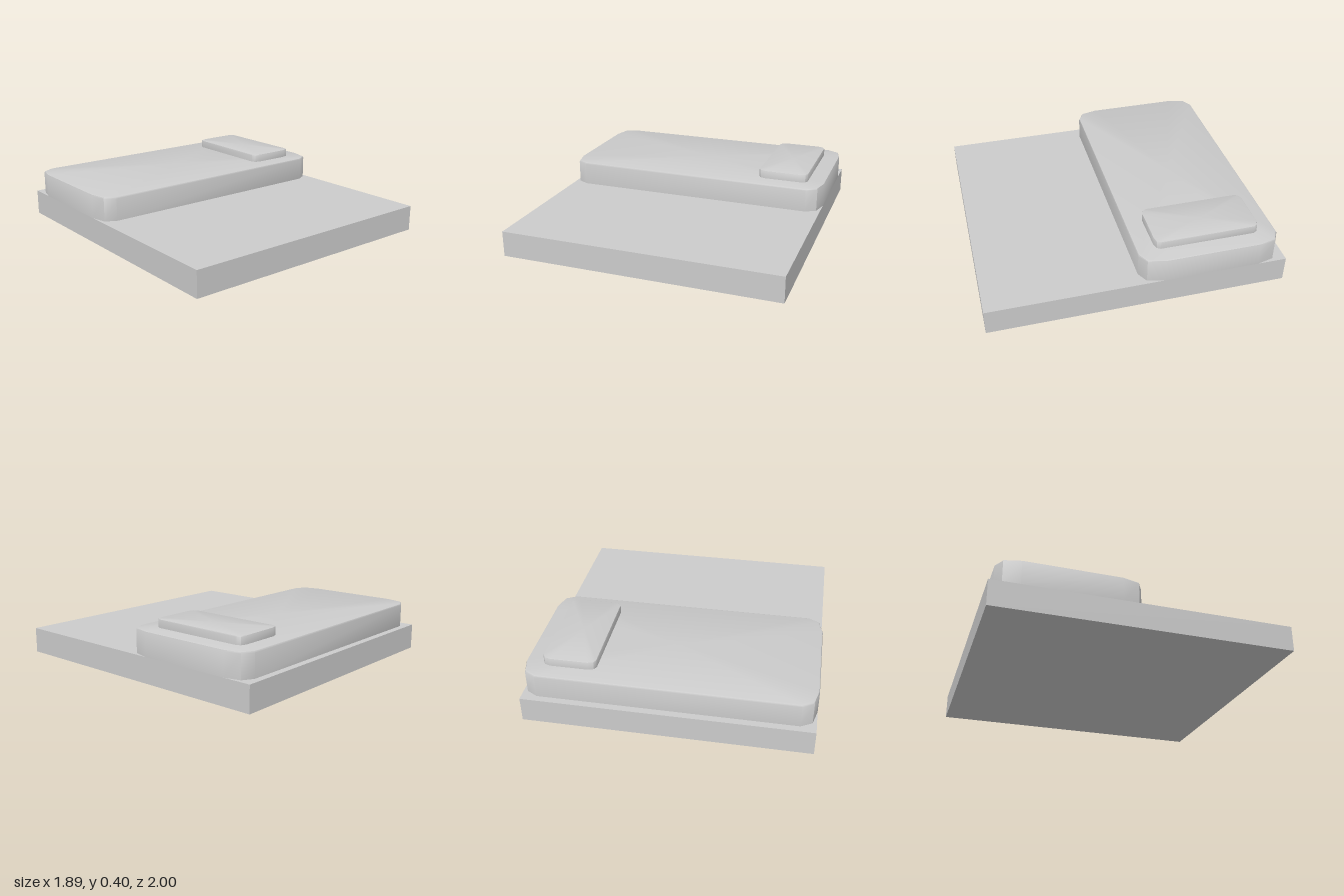
import * as THREE from 'three';
import { toCreasedNormals } from 'three/addons/utils/BufferGeometryUtils.js';

const grey = new THREE.MeshStandardMaterial({ color: 0xcccccc });

// Slab with faceted corners and a softened top edge, centred on x/z.
// corner: three [inset x, inset z] points, from the long side round to the end.
function softSlab(name, width, depth, y0, y1, bevel, corner) {
  const hw = width / 2, hd = depth / 2;
  const outline = [];
  // Walk the four corners; alternate corners are mirrored, so reverse their order.
  for (const [sx, sz] of [[1, 1], [1, -1], [-1, -1], [-1, 1]]) {
    const points = corner.map(([ix, iz]) => [sx * (hw - ix), sz * (hd - iz)]);
    outline.push(...(sx * sz > 0 ? points : points.reverse()));
  }
  const n = outline.length;
  // Rings as [height, inset]
  const rings = [[y0, 0], [y1 - bevel, 0], [y1 - bevel * 0.3, bevel * 0.3], [y1, bevel]];
  const positions = [], index = [];
  for (const [y, inset] of rings) {
    for (const [x, z] of outline) {
      positions.push(x * (1 - inset / hw), y, z * (1 - inset / hd));
    }
  }
  for (let r = 0; r < rings.length - 1; r++) {
    for (let i = 0; i < n; i++) {
      const a = r * n + i, b = r * n + (i + 1) % n;
      index.push(a, b, b + n, a, b + n, a + n);
    }
  }
  // Caps
  const top = (rings.length - 1) * n;
  positions.push(0, y0, 0, 0, y1, 0);
  const centre = rings.length * n;
  for (let i = 0; i < n; i++) {
    const j = (i + 1) % n;
    index.push(centre, j, i, centre + 1, top + i, top + j);
  }
  const geometry = new THREE.BufferGeometry();
  geometry.setAttribute('position', new THREE.Float32BufferAttribute(positions, 3));
  geometry.setIndex(index);
  const mesh = new THREE.Mesh(toCreasedNormals(geometry, THREE.MathUtils.degToRad(40)), grey);
  mesh.name = name;
  return mesh;
}

export function createModel() {
  const group = new THREE.Group();
  group.name = 'steppedSlab';

  // Flat square base
  const base = new THREE.Mesh(new THREE.BoxGeometry(1.89, 0.175, 2), grey);
  base.name = 'base';
  base.position.y = 0.0875;
  group.add(base);

  // Wide block over the rear half
  const block = softSlab('rearBlock', 1.89, 0.945, 0.175, 0.342, 0.012,
    [[0.1, 0], [0.027, 0.04], [0, 0.15]]);
  block.position.z = -0.482;
  group.add(block);

  // Small raised pad at the left end
  const pad = softSlab('raisedPad', 0.352, 0.708, 0.34, 0.398, 0.006,
    [[0.05, 0], [0.014, 0.012], [0, 0.036]]);
  pad.position.set(0.65, 0, -0.483);
  group.add(pad);

  return group;
}
